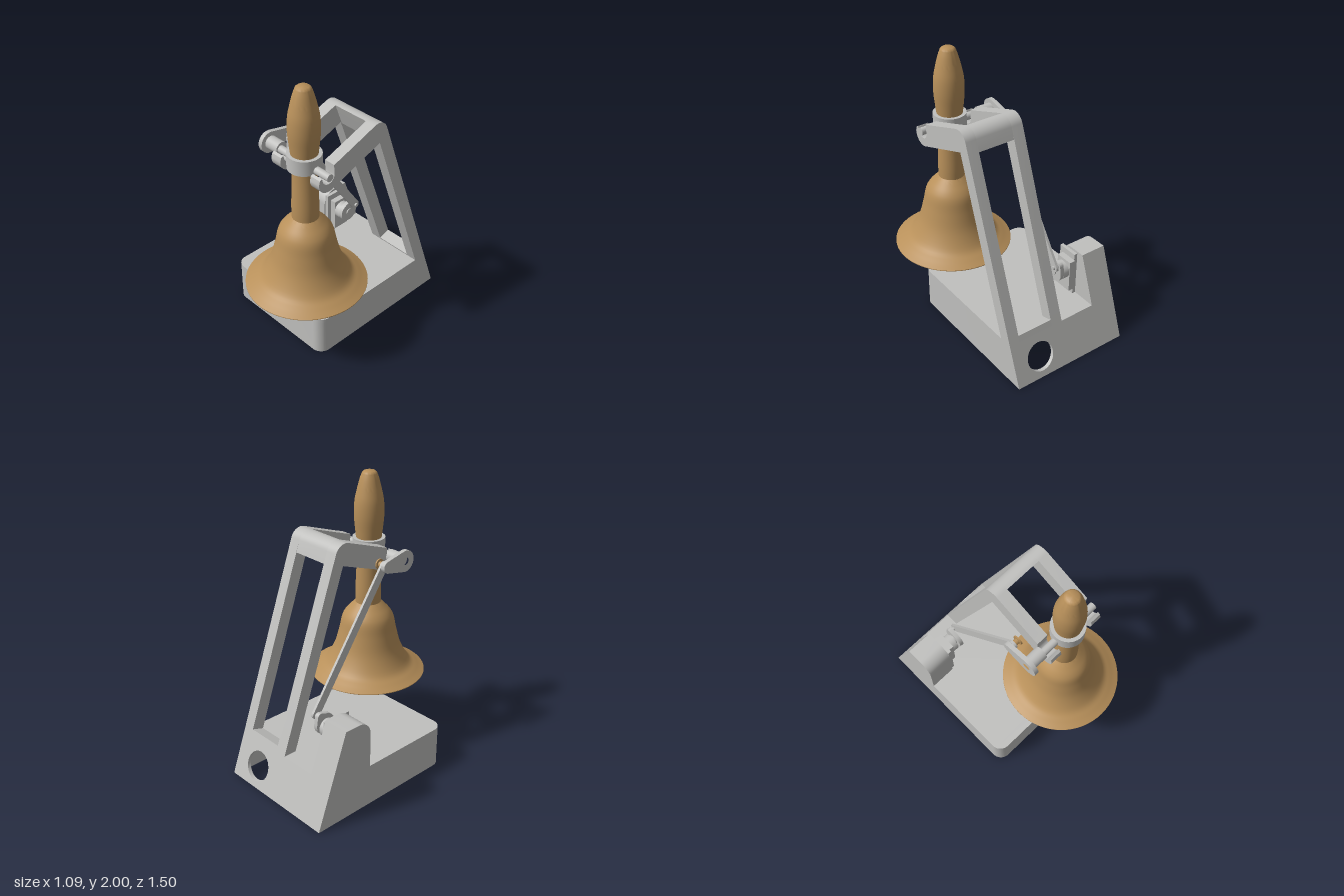
import * as THREE from 'three';
import { toCreasedNormals } from 'three/addons/utils/BufferGeometryUtils.js';

const grey = new THREE.MeshStandardMaterial({ color: 0xc0c0be });
grey.name = 'grey plastic';
const brass = new THREE.MeshStandardMaterial({ color: 0xb8905a });
brass.name = 'brass';

const LEAN = 0.3625; // z gained per unit of height on the sloping back
const BACK = -0.75;
const BELL = { x: 0.13, z: 0.335 };
const PIVOT = [0.336, 1.462];

export function createModel() {
  const model = new THREE.Group();

  function add(name, geometry, material = grey) {
    const mesh = new THREE.Mesh(geometry, material);
    mesh.name = name;
    model.add(mesh);
    return mesh;
  }

  // Points [z, y] on an arc, angles in degrees from +z towards +y
  function arc(z, y, r, from, to, n = 16) {
    return Array.from({ length: n + 1 }, (_, i) => {
      const a = THREE.MathUtils.degToRad(from + (to - from) * i / n);
      return [z + r * Math.cos(a), y + r * Math.sin(a)];
    });
  }

  // Side profile [z, y] extruded from x0 to x1
  function slab(name, points, x0, x1, hole) {
    const flip = list => list.map(([z, y]) => new THREE.Vector2(-z, y));
    const shape = new THREE.Shape(flip(points));
    if (hole) shape.holes.push(new THREE.Path(flip(hole)));
    const g = new THREE.ExtrudeGeometry(shape, { depth: x1 - x0, bevelEnabled: false });
    g.rotateY(Math.PI / 2).translate(x0, 0, 0);
    return add(name, toCreasedNormals(g, 0.5));
  }

  // Outline around two circles of different radius
  function link([z1, y1], r1, [z2, y2], r2) {
    const phi = THREE.MathUtils.radToDeg(Math.atan2(y2 - y1, z2 - z1));
    const d = THREE.MathUtils.radToDeg(Math.acos((r1 - r2) / Math.hypot(z2 - z1, y2 - y1)));
    return [...arc(z1, y1, r1, phi + d, phi + 360 - d, 24), ...arc(z2, y2, r2, phi - d, phi + d, 16)];
  }

  // Cylinder lying along x
  function rod(name, [z, y], r, x0, x1, material) {
    const g = new THREE.CylinderGeometry(r, r, x1 - x0, 32).rotateZ(Math.PI / 2);
    return add(name, g.translate((x0 + x1) / 2, y, z), material);
  }

  function box(name, x0, x1, y0, y1, z0, z1) {
    const g = new THREE.BoxGeometry(x1 - x0, y1 - y0, z1 - z0);
    return add(name, g.translate((x0 + x1) / 2, (y0 + y1) / 2, (z0 + z1) / 2));
  }

  // Lean the rear vertices forward with height
  function lean(g) {
    const p = g.attributes.position;
    for (let i = 0; i < p.count; i++) {
      if (p.getZ(i) < -0.6) p.setZ(i, p.getZ(i) + p.getY(i) * LEAN);
    }
    g.computeVertexNormals();
    return toCreasedNormals(g, 0.5);
  }

  // Hollow base: plan outline with rounded front corners
  const L = -0.55, R = 0.345, F = 0.41, wall = 0.025, deck = 0.275;
  function plan(path, inset, r) {
    const l = L + inset, rt = R - inset, f = -F + inset;
    path.moveTo(l, -BACK);
    path.lineTo(l, f + r);
    path.absarc(l + r, f + r, r, Math.PI, Math.PI * 1.5, false);
    path.lineTo(rt - r, f);
    path.absarc(rt - r, f + r, r, -Math.PI / 2, 0, false);
    path.lineTo(rt, -BACK);
    return path;
  }
  function raise(shape, y0, y1) {
    const g = new THREE.ExtrudeGeometry(shape, { depth: y1 - y0, bevelEnabled: false, curveSegments: 10 });
    return lean(g.rotateX(-Math.PI / 2).translate(0, y0, 0));
  }
  const walls = plan(new THREE.Shape(), 0, 0.08);
  const inner = plan(new THREE.Path(), wall, 0.06).getPoints(10).reverse();
  inner.forEach(p => walls.lineTo(p.x, p.y));
  add('baseWalls', raise(walls, 0, deck));
  add('baseDeck', raise(plan(new THREE.Shape(), 0, 0.08), deck, 0.3));

  // Sloping back panel with cable hole
  const panel = new THREE.Shape([[L + wall, 0], [R - wall, 0], [R - wall, deck], [L + wall, deck]]
    .map(p => new THREE.Vector2(...p)));
  panel.holes.push(new THREE.Path().absellipse(0.13, 0.14, 0.105, 0.099, 0, Math.PI * 2, true));
  const panelGeo = new THREE.ExtrudeGeometry(panel, { depth: wall, bevelEnabled: false, curveSegments: 24 });
  add('backPanel', lean(panelGeo.translate(0, 0, BACK)));

  // Two bent side frames ending in open hooks
  const frame = [
    [-0.641, 0.3], ...arc(-0.09, 1.575, 0.085, 160, 70, 10),
    [0.246, 1.544], [0.29, 1.53], ...arc(PIVOT[0], PIVOT[1], 0.05, 180, 360, 14),
    [0.392, 1.475], [0.408, 1.465], ...arc(PIVOT[0], 1.435, 0.08, 0, -110, 14),
    [-0.11, 1.51], [-0.545, 0.3],
  ];
  slab('rightSideFrame', frame, -0.09, -0.005);
  slab('leftSideFrame', frame, 0.265, R);

  // Cross pieces joining the side frames
  slab('topCrossbar', [[-0.197, 1.525], ...arc(-0.09, 1.575, 0.085, 160, 70, 10),
    [-0.115, 1.51], [-0.12, 1.497]], -0.005, 0.265);
  slab('frameSill', [[-0.641, 0.3], [-0.627, 0.34], [-0.54, 0.312], [-0.545, 0.3]], -0.005, 0.265);

  // Motor pedestal
  slab('motorPedestal', [[-0.641, 0.3], [-0.513, 0.653], ...arc(-0.4, 0.553, 0.1, 90, 0, 12),
    [-0.3, 0.3]], L, -0.36);

  // Motor and its output horn
  const MOTOR = [-0.402, 0.522], CRANKPIN = [-0.44, 0.585], ROD_TOP = [0.17, 1.462];
  box('motorFlange', -0.36, -0.335, 0.3, 0.635, -0.46, -0.31);
  box('motorBody', -0.335, -0.29, 0.35, 0.59, -0.47, -0.34);
  rod('motorGearHousing', [-0.402, 0.505], 0.065, -0.29, -0.245);
  rod('motorShaft', MOTOR, 0.04, -0.245, -0.23);
  slab('motorHorn', link(MOTOR, 0.075, CRANKPIN, 0.028), -0.235, -0.205);
  rod('hornScrew', MOTOR, 0.025, -0.205, -0.198);
  rod('hornPin', CRANKPIN, 0.014, -0.205, -0.16);

  // Connecting rod up to the swing crank
  slab('connectingRod', link(CRANKPIN, 0.031, ROD_TOP, 0.03), -0.19, -0.172);
  rod('rodPin', ROD_TOP, 0.02, -0.2, -0.14, brass);
  rod('rodPinHead', ROD_TOP, 0.035, -0.145, -0.135, brass);
  slab('swingCrank', link([0.33, 1.462], 0.075, ROD_TOP, 0.042), -0.225, -0.195,
    arc(0.33, 1.462, 0.026, 0, 345, 23));
  rod('crankHub', [0.328, 1.462], 0.046, -0.195, -0.09);

  // Axle stubs resting in the hooks, and the clamp on the handle
  rod('rightAxle', PIVOT, 0.026, -0.09, 0.04);
  rod('leftAxle', PIVOT, 0.026, 0.22, 0.36);
  const collar = new THREE.LatheGeometry(
    [[0.08, 1.435], [0.113, 1.435], [0.113, 1.54], [0.08, 1.54], [0.08, 1.435]]
      .map(p => new THREE.Vector2(...p)), 48);
  add('handleClamp', toCreasedNormals(collar, 0.5)).position.set(BELL.x, 0, BELL.z);

  // Hollow bell: down the inside, round the lip, up the outside
  const curve = list => new THREE.SplineCurve(list.map(p => new THREE.Vector2(...p)));
  const outside = curve([[0.413, 0.53], [0.36, 0.56], [0.3, 0.605], [0.24, 0.715], [0.205, 0.84],
    [0.185, 0.935], [0.16, 0.985], [0.12, 1.03], [0.09, 1.06]]).getPoints(36);
  const inside = curve([[0, 0.99], [0.08, 0.985], [0.135, 0.965], [0.162, 0.92], [0.182, 0.83],
    [0.217, 0.705], [0.278, 0.59], [0.345, 0.545], [0.4, 0.525]]).getPoints(36);
  const bell = new THREE.LatheGeometry([...inside, new THREE.Vector2(0.413, 0.525), ...outside], 64);
  add('bell', toCreasedNormals(bell, 0.7), brass).position.set(BELL.x, 0, BELL.z);

  // Handle
  const grip = curve([[0.09, 1.065], [0.09, 1.15], [0.083, 1.35], [0.083, 1.48], [0.093, 1.58],
    [0.103, 1.69], [0.1, 1.79], [0.085, 1.87], [0.066, 1.945], [0.05, 1.99]]).getPoints(36);
  const handle = new THREE.LatheGeometry([new THREE.Vector2(0.09, 1.05), ...grip,
    new THREE.Vector2(0.038, 2), new THREE.Vector2(0, 2)], 48);
  add('handle', toCreasedNormals(handle, 0.7), brass).position.set(BELL.x, 0, BELL.z);

  return model;
}
